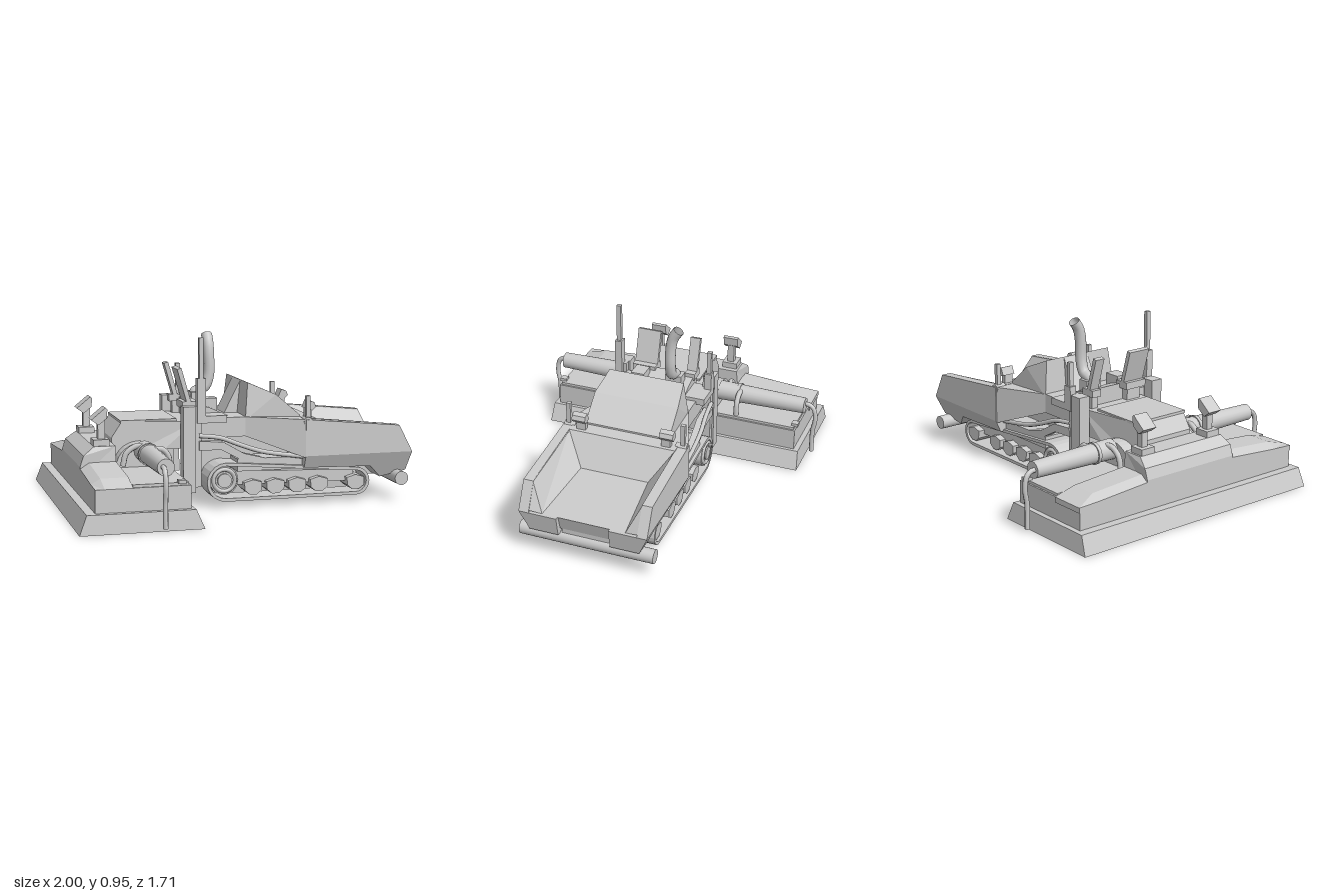
import * as THREE from 'three';

const flat = new THREE.MeshStandardMaterial({ color: 0xcccccc, flatShading: true, side: THREE.DoubleSide });
const smooth = new THREE.MeshStandardMaterial({ color: 0xcccccc, side: THREE.DoubleSide });

export function createModel() {
  const root = new THREE.Group();
  root.name = 'paver';

  const add = (name, geo, mat = flat) => {
    const m = new THREE.Mesh(geo, mat);
    m.name = name;
    root.add(m);
    return m;
  };
  // Box given by its limits
  const box = (name, x0, x1, y0, y1, z0, z1) => {
    const m = add(name, new THREE.BoxGeometry(x1 - x0, y1 - y0, z1 - z0));
    m.position.set((x0 + x1) / 2, (y0 + y1) / 2, (z0 + z1) / 2);
    return m;
  };
  // Side profile extruded across z, with an optional rule that moves vertices
  const slab = (name, pts, z0, z1, rule, hole) => {
    const shape = new THREE.Shape(pts.map(p => new THREE.Vector2(...p)));
    if (hole) shape.holes.push(new THREE.Path(hole.map(p => new THREE.Vector2(...p))));
    const g = new THREE.ExtrudeGeometry(shape, { depth: z1 - z0, bevelEnabled: false });
    g.translate(0, 0, z0);
    if (rule) {
      const p = g.attributes.position, v = new THREE.Vector3();
      for (let i = 0; i < p.count; i++) {
        rule(v.fromBufferAttribute(p, i));
        p.setXYZ(i, v.x, v.y, v.z);
      }
      g.computeVertexNormals();
    }
    return add(name, g);
  };
  const pipe = (name, pts, r, sides = 8) => {
    const c = new THREE.CatmullRomCurve3(pts.map(p => new THREE.Vector3(...p)), false, 'centripetal');
    return add(name, new THREE.TubeGeometry(c, 20, r, sides), smooth);
  };
  // Cylinder lying along z
  const axle = (name, x, y, z0, z1, r0, r1 = r0) => {
    const g = new THREE.CylinderGeometry(r1, r0, Math.abs(z1 - z0), 20);
    g.rotateX(z1 > z0 ? Math.PI / 2 : -Math.PI / 2);
    const m = add(name, g, smooth);
    m.position.set(x, y, (z0 + z1) / 2);
    return m;
  };

  // Screed: flared base plate and body
  slab('screedBase', [[-1, 0], [-0.335, 0], [-0.38, 0.105], [-0.96, 0.105]], -0.8, 0.8,
    v => { if (v.y > 0.05) v.z *= 0.988; });
  box('screedBody', -0.91, -0.40, 0.1, 0.23, -0.76, 0.76);
  box('screedDeck', -0.71, -0.41, 0.225, 0.245, -0.75, 0.75);
  slab('screedCentre', [[-0.91, 0.2], [-0.71, 0.2], [-0.71, 0.375], [-0.83, 0.375], [-0.89, 0.33], [-0.91, 0.27]], -0.31, 0.31,
    v => { if (v.y > 0.35) v.z *= 0.94; });
  const arch = [[-0.70, 0.23]];
  for (let i = 0; i <= 14; i++) {
    const a = Math.PI * (1 - i / 14);
    arch.push([-0.555 + 0.145 * Math.cos(a), 0.245 + 0.135 * Math.sin(a)]);
  }
  arch.push([-0.41, 0.23]);
  slab('screedArch', arch, -0.25, 0.25);

  // Console housing between screed and tractor
  slab('rearHousing', [[-0.71, 0.25], [-0.42, 0.25], [-0.42, 0.33], [-0.24, 0.33], [-0.24, 0.48], [-0.65, 0.49], [-0.71, 0.4]],
    -0.2, 0.2, v => { v.z *= v.x < -0.6 ? 0.87 : 1.07; });
  box('housingTrim', -0.66, -0.34, 0.48, 0.495, -0.18, 0.18);

  // Tractor chassis, deck, flared front body and engine hood
  box('chassis', -0.2, 0.36, 0.12, 0.4, -0.155, 0.155);
  box('frontChassis', 0.36, 0.85, 0.12, 0.2, -0.155, 0.155);
  slab('rearBody', [[-0.25, 0.41], [-0.15, 0.39], [0.04, 0.39], [0.04, 0.5], [-0.25, 0.5]], -0.25, 0.25);
  slab('flaredBody', [[0.04, 0.39], [0.36, 0.27], [0.36, 0.488], [0.04, 0.5]], -0.25, 0.25,
    v => { if (v.x > 0.3) v.z *= 1.46; });
  slab('operatorDeck', [[-0.25, 0.45], [-0.04, 0.45], [-0.04, 0.5], [-0.15, 0.55], [-0.25, 0.575]], -0.18, 0.18);
  slab('engineHood', [[0.04, 0.48], [0.36, 0.45], [0.36, 0.5], [0.22, 0.62], [0.06, 0.69]],
    -0.25, 0.25, v => { if (v.y > 0.65) v.z *= 0.9; });
  slab('hoodBrace', [[-0.04, 0.49], [0.06, 0.49], [0.06, 0.685]], -0.1, 0.07);
  pipe('exhaust', [[-0.18, 0.57, -0.09], [-0.17, 0.605, -0.09], [-0.11, 0.635, -0.09], [-0.085, 0.7, -0.09],
    [-0.083, 0.83, -0.095], [-0.083, 0.89, -0.11], [-0.083, 0.935, -0.14]], 0.032, 10);
  box('exhaustBase', -0.2, -0.13, 0.54, 0.61, -0.14, -0.04);
  box('driverConsole', -0.2, -0.1, 0.5, 0.6, 0.08, 0.16);

  // Seats with tilted backs
  for (const [z, w] of [[0.125, 0.14], [-0.16, 0.06]]) {
    const back = box('seatBack', -0.31, -0.285, 0.57, 0.78, z - w / 2, z + w / 2);
    back.rotation.z = 0.28;
    box('seatCushion', -0.31, -0.22, 0.55, 0.59, z - w / 2, z + w / 2);
    box('seatBase', -0.29, -0.23, 0.46, 0.56, z - w / 3, z + w / 3);
  }

  // Hopper
  slab('hopperRearWall', [[0.36, 0.22], [0.48, 0.22], [0.44, 0.485], [0.36, 0.49]], -0.315, 0.315);
  slab('hopperFloor', [[0.36, 0.2], [0.95, 0.19], [0.975, 0.275], [0.56, 0.25], [0.36, 0.25]], -0.16, 0.16);
  const quads = [];
  const quad = (a, b, c, d) => quads.push(...a, ...b, ...c, ...a, ...c, ...d);
  const at = (p, s) => [p[0], p[1], p[2] * s];
  const rimRear = [0.44, 0.485, 0.315], rimFront = [0.92, 0.435, 0.315], lip = [0.99, 0.29, 0.315];
  const floorRear = [0.55, 0.32, 0.2], floorFront = [0.98, 0.28, 0.24];
  quad(rimRear, at(rimRear, -1), at(floorRear, -1), floorRear);
  quad(floorRear, at(floorRear, -1), at(floorFront, -1), floorFront);
  for (const s of [1, -1]) {
    quad(...[rimRear, floorRear, floorFront, rimFront].map(p => at(p, s)));
    quads.push(...at(rimFront, s), ...at(floorFront, s), ...at(lip, s));
  }
  const liner = new THREE.BufferGeometry();
  liner.setAttribute('position', new THREE.Float32BufferAttribute(quads, 3));
  liner.computeVertexNormals();
  add('hopperLiner', liner);
  axle('pushRoller', 0.93, 0.13, -0.39, 0.39, 0.04);
  box('rollerMount', 0.8, 0.95, 0.13, 0.21, -0.14, 0.14);

  // Track outline, offset inwards for the inner edge
  const trackLoop = t => {
    const pts = [], arc = (cx, cy, r, a0, a1) => {
      for (let i = 0; i <= 10; i++) {
        const a = a0 + (a1 - a0) * i / 10;
        pts.push([cx + (r - t) * Math.cos(a), cy + (r - t) * Math.sin(a)]);
      }
    };
    arc(-0.09, 0.145, 0.11, Math.PI / 2, Math.PI * 1.5);
    arc(0.68, 0.115, 0.08, -Math.PI / 2, Math.PI / 2);
    return pts;
  };

  for (const s of [1, -1]) {
    // z limits for one side of the machine
    const side = (a, b) => (s > 0 ? [a, b] : [-b, -a]);

    // Screed wing with a sloped end cap
    const wing = [[-0.91, 0.2], [-0.71, 0.2], [-0.71, 0.29], [-0.86, 0.29], [-0.91, 0.26]];
    slab('screedWing', wing, ...side(0.3, 0.64), v => { if (v.y > 0.22 && Math.abs(v.z) > 0.5) v.y -= 0.025; });
    slab('screedWingEnd', wing, ...side(0.64, 0.765),
      v => { if (v.y > 0.22) v.y = Math.abs(v.z) > 0.7 ? 0.23 : v.y - 0.025; });
    // Extension cylinder with its drop pipe and hoses
    axle('extensionCylinder', -0.54, 0.332, s * 0.25, s * 0.78, 0.058, 0.047);
    axle('cylinderCollar', -0.54, 0.332, s * 0.36, s * 0.38, 0.062);
    pipe('dropPipe', [[-0.555, 0.335, s * 0.76], [-0.555, 0.335, s * 0.80], [-0.555, 0.31, s * 0.83],
      [-0.555, 0.24, s * 0.842], [-0.555, 0.16, s * 0.83], [-0.555, 0.02, s * 0.83]], 0.014);
    pipe('innerHose', [[-0.67, 0.26, s * 0.29], [-0.65, 0.33, s * 0.29], [-0.59, 0.37, s * 0.295], [-0.54, 0.365, s * 0.31]], 0.016);
    pipe('outerHose', [[-0.52, 0.365, s * 0.385], [-0.47, 0.36, s * 0.385], [-0.435, 0.32, s * 0.385], [-0.43, 0.24, s * 0.385]], 0.016);
    box('screedEndBlock', -0.47, -0.43, 0.24, 0.26, ...side(0.73, 0.77));

    // Screed control stand
    box('controlFoot', -0.83, -0.74, 0.37, 0.41, ...side(0.19, 0.28));
    box('controlPost', -0.80, -0.76, 0.4, 0.54, ...side(0.215, 0.255));
    slab('controlPanel', [[-0.84, 0.52], [-0.76, 0.585], [-0.75, 0.575], [-0.755, 0.525], [-0.8, 0.49]], ...side(0.19, 0.28));

    // Tow post and levelling arms
    box('towPost', -0.33, -0.26, 0.09, 0.575, ...side(0.23, 0.3));
    box('towPostRail', -0.27, -0.225, 0.12, 0.575, ...side(0.24, 0.29));
    slab('towArm', [[-0.24, 0.38], [-0.1, 0.37], [0.02, 0.3], [0.14, 0.27], [0.14, 0.24], [0, 0.265], [-0.11, 0.325], [-0.24, 0.33]],
      ...side(0.25, 0.3));
    pipe('hydraulicLine', [[-0.24, 0.41, s * 0.29], [-0.12, 0.395, s * 0.3], [0, 0.35, s * 0.31], [0.12, 0.31, s * 0.31], [0.36, 0.27, s * 0.31]], 0.013);
    box('trackGuard', -0.02, 0.6, 0.2, 0.27, ...side(0.15, 0.3));

    // Crawler track with sprocket and rollers
    slab('track', trackLoop(0), ...side(0.16, 0.32), null, trackLoop(0.018));
    slab('trackFrame', [[-0.09, 0.12], [0.68, 0.11], [0.68, 0.175], [-0.09, 0.2]], ...side(0.19, 0.27));
    axle('sprocket', -0.1, 0.155, s * 0.18, s * 0.31, 0.082);
    axle('sprocketHub', -0.1, 0.155, s * 0.3, s * 0.325, 0.04);
    const rim = add('sprocketRim', new THREE.TorusGeometry(0.062, 0.012, 6, 24), smooth);
    rim.position.set(-0.1, 0.155, s * 0.312);
    for (const x of [0.07, 0.2, 0.33, 0.46, 0.68]) {
      slab('trackRoller', [[-0.052, 0.135], [-0.048, 0.09], [-0.02, 0.066], [0.02, 0.066], [0.052, 0.09], [0.052, 0.135], [0, 0.15]]
        .map(([a, b]) => [x + a, b]), ...side(0.18, 0.31));
    }

    // Hopper wing and its tapered lower hull
    slab('hopperWing', [[0.36, 0.28], [1, 0.28], [0.92, 0.435], [0.36, 0.488]], ...side(0.312, 0.37));
    slab('hopperHull', [[0.36, 0.21], [0.76, 0.2], [0.83, 0.13], [0.98, 0.165], [1, 0.28], [0.36, 0.28]], ...side(0.15, 0.37),
      v => { if (Math.abs(v.z) > 0.3) v.z -= s * Math.max(0, 0.28 - v.y) * 0.45; });
    box('lampStem', 0.39, 0.42, 0.47, 0.55, ...side(0.225, 0.28));
    slab('lamp', [[0.38, 0.54], [0.42, 0.528], [0.44, 0.55], [0.43, 0.575], [0.4, 0.585]], ...side(0.22, 0.3));
    axle('hopperPivot', 0.375, 0.475, s * 0.3, s * 0.365, 0.025);
    box('markerPost', 0.365, 0.39, 0.47, 0.62, ...side(0.328, 0.353));

    // Deck mast, tall on the left side
    const top = s > 0 ? 0.955 : 0.755;
    box('mast', -0.237, -0.212, 0.5, top, ...side(0.267, 0.293));
    box('mastBase', -0.25, -0.2, 0.48, s > 0 ? 0.73 : 0.62, ...side(0.258, 0.3));
    box('deckEdge', -0.25, -0.08, 0.48, 0.52, ...side(0.17, 0.3));
  }
  return root;
}
